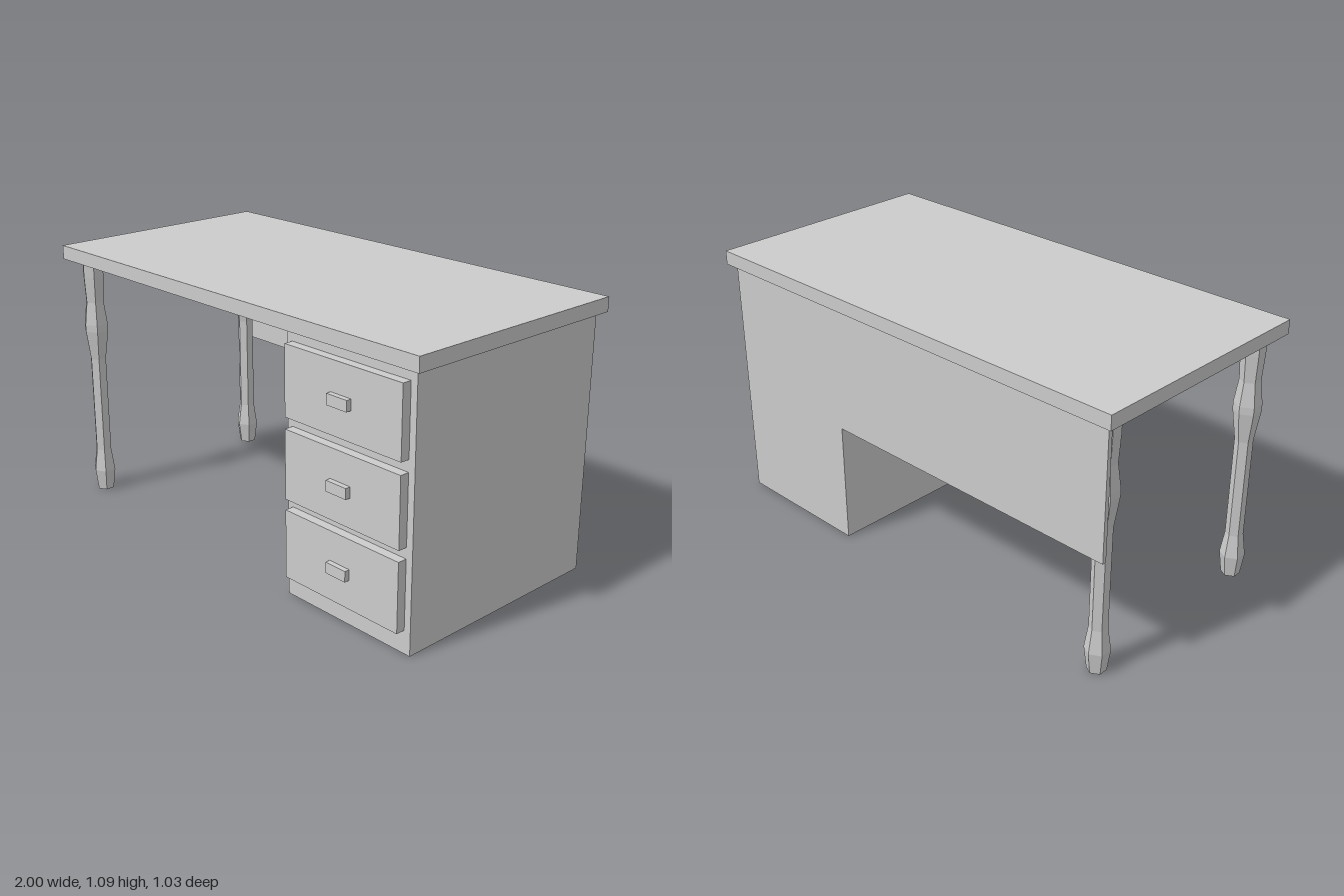
import * as THREE from 'three';

const grey = new THREE.MeshStandardMaterial({ color: 0xcccccc, flatShading: true });
const greyThin = new THREE.MeshStandardMaterial({ color: 0xcccccc, flatShading: true, side: THREE.DoubleSide });

// Box given by its lower and upper corner
function box(name, [x0, y0, z0], [x1, y1, z1], material = grey) {
  const mesh = new THREE.Mesh(new THREE.BoxGeometry(x1 - x0, y1 - y0, z1 - z0), material);
  mesh.position.set((x0 + x1) / 2, (y0 + y1) / 2, (z0 + z1) / 2);
  mesh.name = name;
  return mesh;
}

// Six-sided turned leg, standing on y = 0
function turnedLeg(name, x, z) {
  const profile = [
    [0, 0], [0.037, 0], [0.049, 0.09], [0.035, 0.185], [0.035, 0.6],
    [0.053, 0.725], [0.053, 0.755], [0.04, 0.85], [0.046, 0.96], [0.046, 1.03],
  ].map(([r, y]) => new THREE.Vector2(r, y));
  const mesh = new THREE.Mesh(new THREE.LatheGeometry(profile, 6), grey);
  mesh.position.set(x, 0, z);
  mesh.name = name;
  return mesh;
}

export function createModel() {
  const desk = new THREE.Group();
  desk.name = 'desk';

  desk.add(box('tabletop', [-1, 1.03, -0.512], [1, 1.087, 0.485]));

  // Cabinet shell: four thin walls, open underneath and closed above by the tabletop
  const cabinet = box('cabinet', [0.36, 0, -0.485], [0.97, 1.03, 0.457], greyThin);
  const index = Array.from(cabinet.geometry.index.array);
  index.splice(12, 12); // drop the top and bottom faces
  cabinet.geometry.setIndex(index);
  cabinet.geometry.clearGroups();
  desk.add(cabinet);

  // Drawers with small block handles
  [0.09, 0.402, 0.717].forEach((y, i) => {
    const drawer = new THREE.Group();
    drawer.name = `drawer${i + 1}`;
    drawer.add(
      box('drawerFront', [0.385, y, 0.457], [0.942, y + 0.27, 0.494]),
      box('drawerHandle', [0.615, y + 0.113, 0.494], [0.712, y + 0.155, 0.515]),
    );
    desk.add(drawer);
  });

  // Modesty panel across the knee space
  desk.add(box('backPanel', [-0.972, 0.505, -0.485], [0.36, 1.03, -0.468]));

  // Two legs carry the open end
  desk.add(turnedLeg('frontLeg', -0.915, 0.4), turnedLeg('backLeg', -0.915, -0.42));

  return desk;
}
